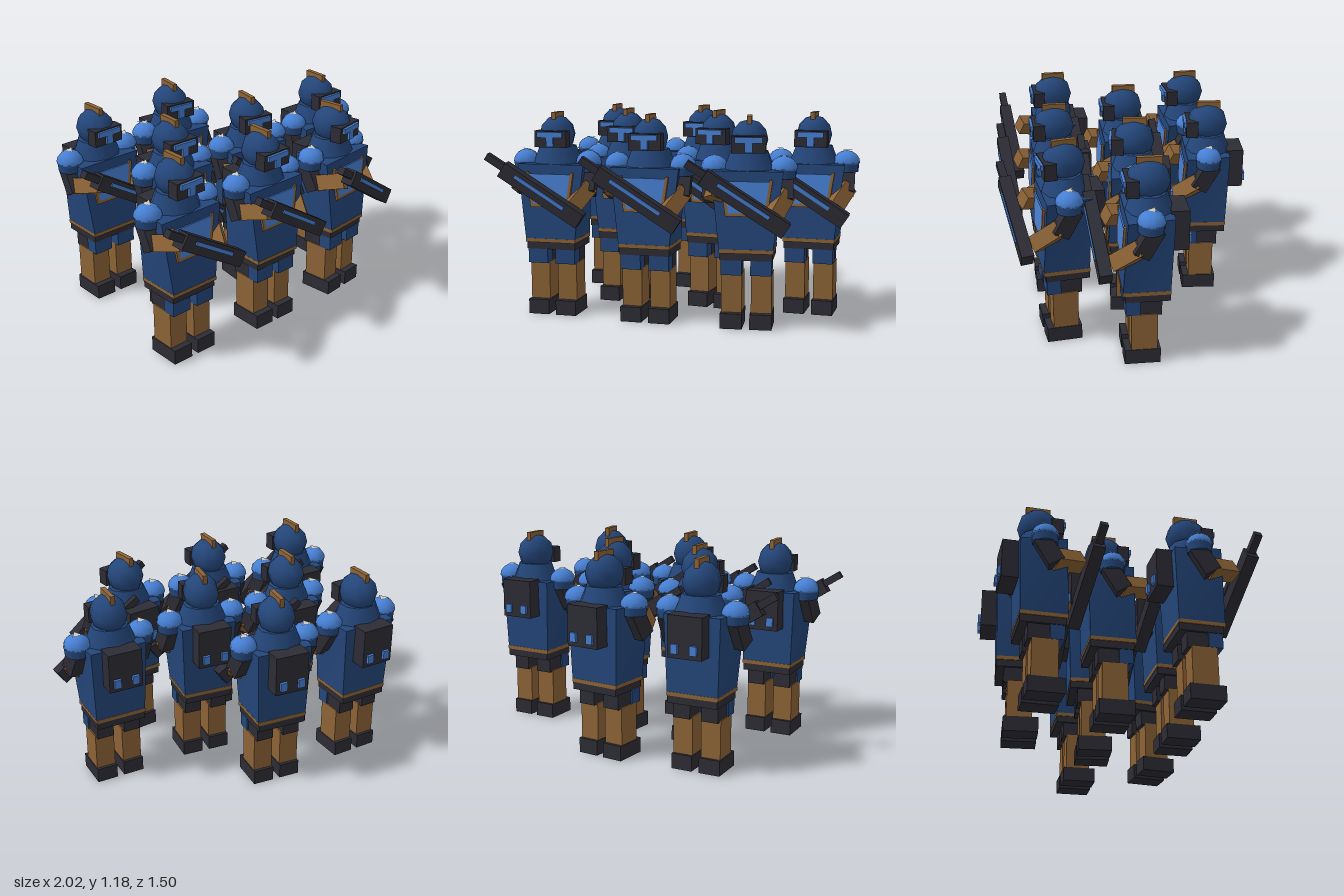
import * as THREE from 'three';

const mat = (name, color) => {
  const m = new THREE.MeshStandardMaterial({ color });
  m.name = name;
  return m;
};

export function createModel() {
  const navy = mat('navy armour', 0x24467a);
  const blue = mat('bright blue', 0x4780d4);
  const tan = mat('tan cloth', 0x8c6336);
  const dark = mat('dark metal', 0x2d2c35);
  const pale = mat('pale trim', 0xd0cbc2);
  pale.side = THREE.DoubleSide;

  const add = (parent, name, geo, material, x = 0, y = 0, z = 0) => {
    const m = new THREE.Mesh(geo, material);
    m.name = name;
    m.position.set(x, y, z);
    parent.add(m);
    return m;
  };
  const box = (parent, name, material, w, h, d, x, y, z) =>
    add(parent, name, new THREE.BoxGeometry(w, h, d), material, x, y, z);

  // box stretched between two points
  const limb = (parent, name, material, a, b, w, d) => {
    const from = new THREE.Vector3(...a), to = new THREE.Vector3(...b);
    const dir = to.clone().sub(from);
    const m = box(parent, name, material, w, dir.length(), d, 0, 0, 0);
    m.position.copy(from).add(to).multiplyScalar(0.5);
    m.quaternion.setFromUnitVectors(new THREE.Vector3(0, 1, 0), dir.normalize());
    return m;
  };

  // torso: wider at the top front than at the back and the waist
  const torsoGeo = new THREE.BoxGeometry(1, 1, 1);
  const p = torsoGeo.attributes.position;
  for (let i = 0; i < p.count; i++) {
    const top = p.getY(i) > 0, front = p.getZ(i) > 0;
    const half = top ? (front ? 0.2 : 0.165) : 0.15;
    p.setXYZ(i, Math.sign(p.getX(i)) * half, top ? 0.885 : 0.45,
      front ? (top ? 0.135 : 0.155) : (top ? -0.12 : -0.105));
  }
  torsoGeo.computeVertexNormals();

  // plain winged trim shape for the shoulder pads
  const trim = new THREE.Shape([[0, -0.035], [0.013, -0.008], [0.036, 0.03], [0.01, 0.016],
    [0, 0.026], [-0.01, 0.016], [-0.036, 0.03], [-0.013, -0.008]].map(q => new THREE.Vector2(...q)));
  const trimGeo = new THREE.ShapeGeometry(trim);

  function head(parent, yaw) {
    const g = new THREE.Group();
    g.name = 'head';
    g.rotation.y = yaw;
    parent.add(g);
    const helmet = add(g, 'helmet', new THREE.SphereGeometry(1, 10, 6), navy, 0, 1.05, 0.005);
    helmet.scale.set(0.104, 0.11, 0.122);
    box(g, 'crest', tan, 0.027, 0.1, 0.14, 0, 1.13, 0);
    box(g, 'visor', dark, 0.19, 0.095, 0.07, 0, 1.03, 0.098);
    box(g, 'visorSlit', blue, 0.15, 0.032, 0.02, 0, 1.055, 0.138);
    box(g, 'visorBridge', blue, 0.042, 0.075, 0.018, 0, 1.025, 0.138);
  }

  function rifle(parent) {
    const g = new THREE.Group();
    g.name = 'rifle';
    const muzzle = new THREE.Vector3(-0.31, 0.935, 0.315);
    const butt = new THREE.Vector3(0.225, 0.585, 0.255);
    const along = muzzle.clone().sub(butt).normalize();
    // local y runs to the muzzle, local z faces forward
    const side = along.clone().cross(new THREE.Vector3(0, 0, 1)).normalize();
    const out = side.clone().cross(along);
    g.quaternion.setFromRotationMatrix(new THREE.Matrix4().makeBasis(side, along, out));
    g.position.copy(butt);
    parent.add(g);
    box(g, 'rifleBody', dark, 0.09, 0.53, 0.07, 0, 0.265, 0);
    box(g, 'barrel', dark, 0.042, 0.12, 0.042, 0.01, 0.585, 0);
    box(g, 'rifleStripe', blue, 0.022, 0.33, 0.009, 0.012, 0.28, 0.038);
  }

  function soldier(x, z, yaw) {
    const g = new THREE.Group();
    g.name = 'soldier';
    g.position.set(x, 0, z);
    g.rotation.y = yaw;

    // torso, collar and belt
    add(g, 'torso', torsoGeo, navy);
    const collar = add(g, 'collar', new THREE.CylinderGeometry(0.107, 0.15, 0.115, 10), navy, 0, 0.928, 0);
    collar.scale.z = 0.9;
    box(g, 'beltTrim', tan, 0.302, 0.022, 0.264, 0, 0.442, 0.025);
    box(g, 'belt', dark, 0.292, 0.042, 0.25, 0, 0.411, 0.02);

    // framed chest panel, tilted with the torso front
    const chest = new THREE.Group();
    chest.name = 'chestPlate';
    chest.position.set(0, 0.75, 0.146);
    chest.rotation.x = -0.046;
    g.add(chest);
    const panel = new THREE.Shape([[-0.1, -0.095], [0.1, -0.095], [0.125, 0.08], [-0.125, 0.08]]
      .map(q => new THREE.Vector2(...q)));
    add(chest, 'chestPanel', new THREE.ExtrudeGeometry(panel, { depth: 0.009, bevelEnabled: false }), blue);
    box(chest, 'chestFrameBottom', tan, 0.23, 0.02, 0.014, 0, -0.102, 0.002);
    for (const s of [-1, 1])
      limb(chest, 'chestFrameSide', tan, [s * 0.108, -0.1, 0.002], [s * 0.135, 0.09, 0.002], 0.018, 0.014);

    // backpack
    box(g, 'backpack', dark, 0.2, 0.23, 0.1, 0, 0.785, -0.157);

    for (const s of [-1, 1]) {
      box(g, 'backpackLight', blue, 0.04, 0.052, 0.018, s * 0.055, 0.722, -0.214);

      // legs
      const lx = s * 0.083;
      box(g, 'boot', dark, 0.123, 0.087, 0.2, lx, 0.0435, 0.045);
      box(g, 'leg', tan, 0.115, 0.225, 0.145, lx, 0.195, 0.035);
      box(g, 'thigh', dark, 0.1, 0.1, 0.12, lx, 0.348, 0.0);
      box(g, 'thighGuard', navy, 0.118, 0.085, 0.08, lx, 0.348, 0.1);

      // shoulder pad
      add(g, 'shoulderRim', new THREE.CylinderGeometry(0.074, 0.07, 0.055, 10), navy, s * 0.193, 0.865, 0.012);
      const dome = add(g, 'shoulderPad', new THREE.SphereGeometry(0.078, 10, 4, 0, Math.PI * 2, 0, Math.PI / 2),
        blue, s * 0.193, 0.89, 0.012);
      dome.scale.y = 0.9;
      add(g, 'shoulderPadBase', new THREE.CylinderGeometry(0.078, 0.074, 0.008, 10), blue, s * 0.193, 0.888, 0.012);
      const mark = add(g, 'shoulderTrim', trimGeo, pale, s * 0.193, 0.962, 0.012);
      mark.rotation.x = -Math.PI / 2;

      // arms: the left hand low on the stock, the right hand high near the barrel
      const elbow = [s * 0.205, 0.715, 0.075];
      const hand = s > 0 ? [0.14, 0.635, 0.2] : [-0.13, 0.79, 0.22];
      limb(g, 'upperArm', dark, [s * 0.198, 0.86, -0.01], elbow, 0.085, 0.095);
      limb(g, 'forearm', tan, [s * 0.203, 0.75, 0.06], hand, 0.085, 0.09);
    }

    head(g, yaw * 0.5);
    rifle(g);
    return g;
  }

  // squad in three ranks: x, z, turn
  const squad = new THREE.Group();
  squad.name = 'squad';
  for (const place of [
    [-0.65, -0.47, 0.04], [-0.07, -0.515, -0.07],
    [-0.42, -0.045, 0.0], [0.153, -0.045, -0.09], [0.73, -0.05, 0.0],
    [-0.71, 0.375, 0.04], [-0.13, 0.4, 0.03], [0.44, 0.38, 0.13],
  ]) squad.add(soldier(...place));
  return squad;
}
